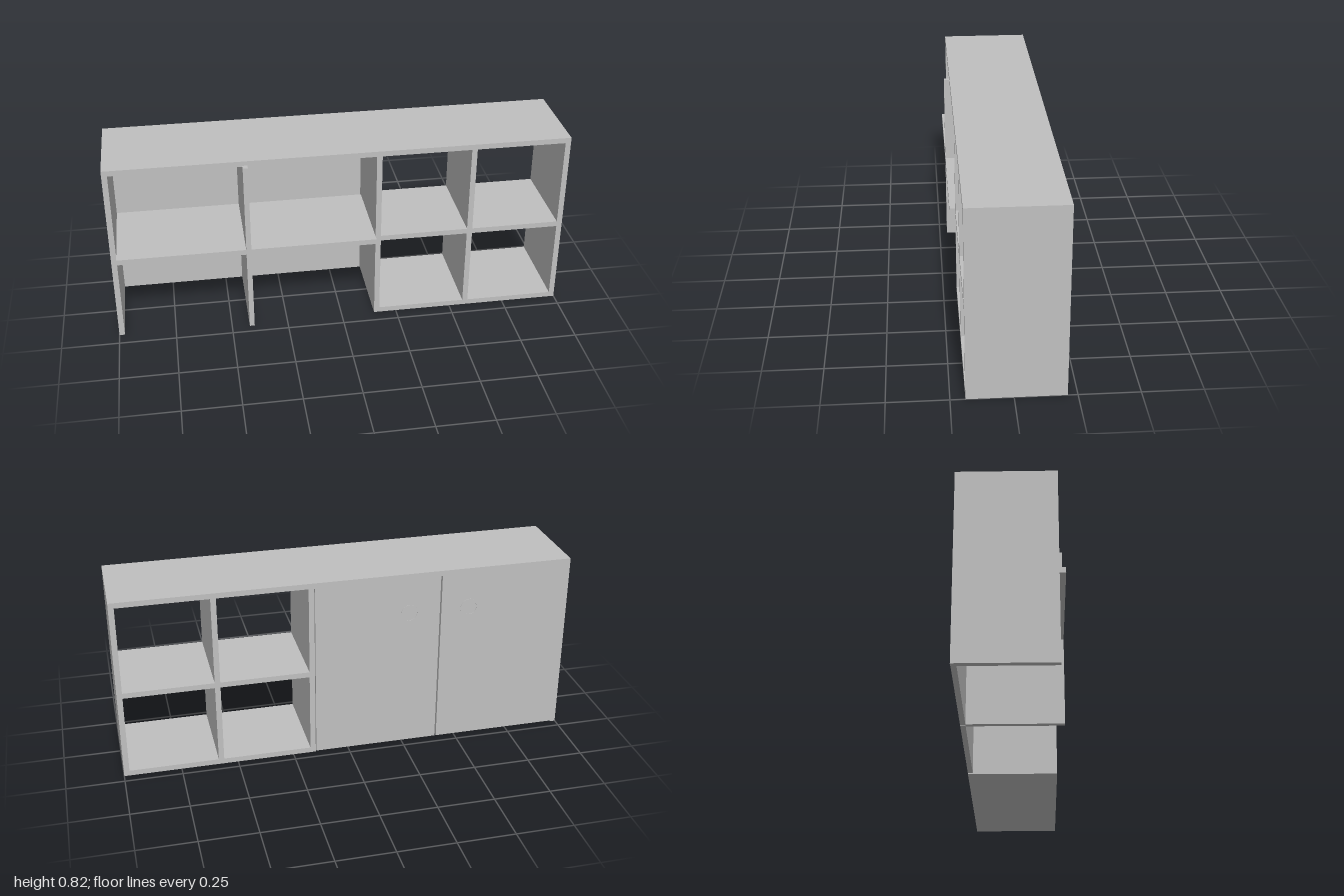
import * as THREE from 'three';

export function createModel() {
  const model = new THREE.Group();
  model.name = 'shelfCabinet';
  const grey = new THREE.MeshStandardMaterial({ color: 0xc0c0c0 });
  grey.name = 'plain grey';

  // Board given by its extents along each axis
  const board = (name, [x0, x1], [y0, y1], [z0, z1]) => {
    const mesh = new THREE.Mesh(new THREE.BoxGeometry(x1 - x0, y1 - y0, z1 - z0), grey);
    mesh.position.set((x0 + x1) / 2, (y0 + y1) / 2, (z0 + z1) / 2);
    mesh.name = name;
    model.add(mesh);
  };

  const T = 0.024, H = 0.825, back = -0.21, front = 0.19, lip = 0.215;
  const depth = [back, front];
  const inner = [T, H - T];

  // Outer carcass: the floor runs under the open cubes only
  board('topPanel', [-1, 1], [H - T, H], depth);
  board('rightSide', [-1, -1 + T], [0, H - T], depth);
  board('leftSide', [1 - T, 1], [0, H - T], depth);
  board('middleWall', [0.149, 0.149 + T], [0, H - T], depth);
  board('floorPanel', [0.149 + T, 1 - T], [0, T], depth);

  // Open cubes
  board('cubeDivider', [0.562, 0.562 + T], inner, depth);
  for (const [x0, x1] of [[0.173, 0.562], [0.586, 0.976]])
    board('cubeShelf', [x0, x1], [0.383, 0.407], depth);

  // Deep compartments, whose divider and shelves stand proud of the front
  board('deepDivider', [-0.422, -0.4], [0.004, H - T], [-0.188, front]);
  board('deepDividerLip', [-0.422, -0.4], [0.004, 0.805], [front, lip]);
  for (const [x0, x1] of [[-0.976, -0.422], [-0.4, 0.149]])
    board('deepShelf', [x0, x1], [0.383, 0.407], [-0.188, lip]);

  // Doors closing the back of the deep compartments, each with a thin ring pull
  const ring = new THREE.Shape().absarc(0, 0, 0.04, 0, Math.PI * 2);
  ring.holes.push(new THREE.Path().absarc(0, 0, 0.033, 0, Math.PI * 2, true));
  const ringGeometry = new THREE.ExtrudeGeometry(ring, { depth: 0.003, bevelEnabled: false, curveSegments: 24 });
  for (const [x0, x1, ringX] of [[-0.976, -0.415, -0.542], [-0.408, 0.146, -0.272]]) {
    board('door', [x0, x1], [0.004, H - T], [back, -0.188]);
    const pull = new THREE.Mesh(ringGeometry, grey);
    pull.position.set(ringX, 0.64, back - 0.002);
    pull.name = 'ringPull';
    model.add(pull);
  }
  return model;
}
